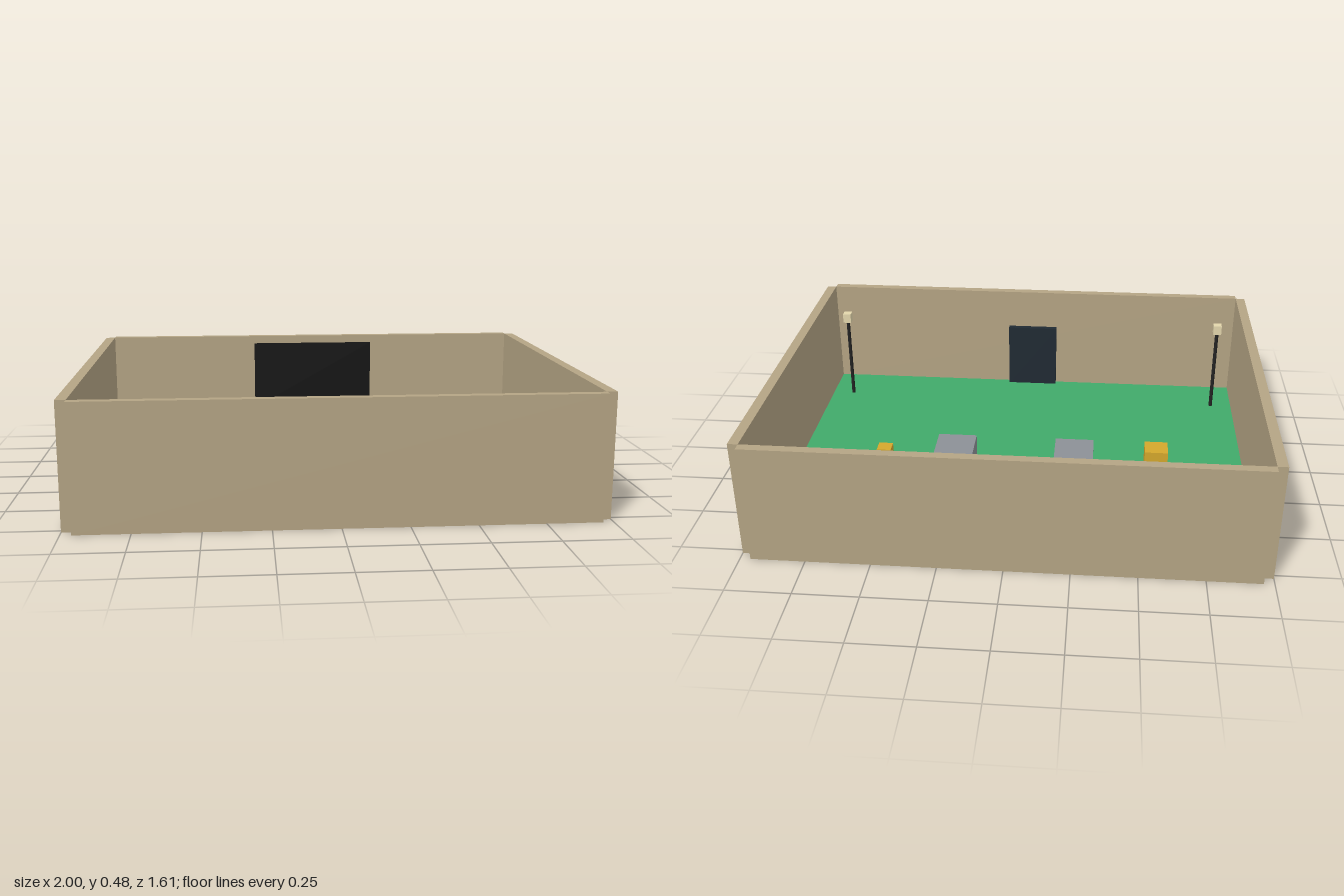
import * as THREE from 'three';

const paint = (color) => new THREE.MeshStandardMaterial({ color });

const TAN = paint(0xb4a484);
const GREEN = paint(0x40aa6a);
const BLACK = paint(0x222222);
const BROWN = paint(0x5c4f48);
const STEEL = paint(0x8c9096);
const GREY = paint(0xa3a3a3);
const YELLOW = paint(0xd4a72c);
const CREAM = paint(0xe3d6ac);
const NAVY = paint(0x202a33);

export function createModel() {
  const model = new THREE.Group();
  model.name = 'workshopRoom';

  // Box resting with its underside at height y
  const box = (name, material, [w, h, d], [x, y, z]) => {
    const mesh = new THREE.Mesh(new THREE.BoxGeometry(w, h, d), material);
    mesh.name = name;
    mesh.position.set(x, y + h / 2, z);
    model.add(mesh);
    return mesh;
  };

  // Floor slab with green covering
  box('floorSlab', TAN, [1.92, 0.004, 1.54], [0, 0, 0]);
  box('floorCovering', GREEN, [1.92, 0.004, 1.54], [0, 0.004, 0]);

  // Walls, leaving the outer corners open
  const height = 0.48;
  box('frontWall', TAN, [1.92, height, 0.036], [0, 0, 0.787]);
  box('backWall', TAN, [1.92, height, 0.036], [0, 0, -0.787]);
  box('leftWall', TAN, [0.04, height, 1.54], [0.98, 0, 0]);
  box('rightWall', TAN, [0.04, height, 1.54], [-0.98, 0, 0]);

  // Wall screen and door
  box('wallScreen', paint(0x111111), [0.57, 0.32, 0.008], [0, 0.125, -0.766]);
  box('door', NAVY, [0.23, 0.3, 0.025], [0, 0.004, 0.757]);

  // Conveyor with two machine housings on its belt
  box('conveyorBase', BROWN, [0.765, 0.115, 0.145], [0, 0.004, -0.292]);
  box('conveyorBelt', BLACK, [0.765, 0.012, 0.115], [0, 0.119, -0.292]);
  for (const side of [-1, 1]) {
    box('machineHousing', STEEL, [0.155, 0.11, 0.155], [side * 0.24, 0.131, -0.292]);
  }

  // Yellow cabinets
  box('largeCabinet', YELLOW, [0.096, 0.148, 0.092], [-0.58, 0.004, -0.1]);
  box('smallCabinet', YELLOW, [0.06, 0.1, 0.06], [0.575, 0.004, -0.1]);

  for (const side of [-1, 1]) {
    // Storage crates in the back corners
    box('storageCrate', GREY, [0.135, 0.076, 0.1], [side * 0.77, 0.004, -0.58]);

    // Lamp posts in the front corners
    const pole = new THREE.Mesh(new THREE.CylinderGeometry(0.008, 0.008, 0.38, 12), BLACK);
    pole.name = 'lampPole';
    pole.position.set(side * 0.865, 0.194, 0.575);
    model.add(pole);
    box('lampHead', CREAM, [0.036, 0.042, 0.036], [side * 0.865, 0.384, 0.575]);
  }

  return model;
}
